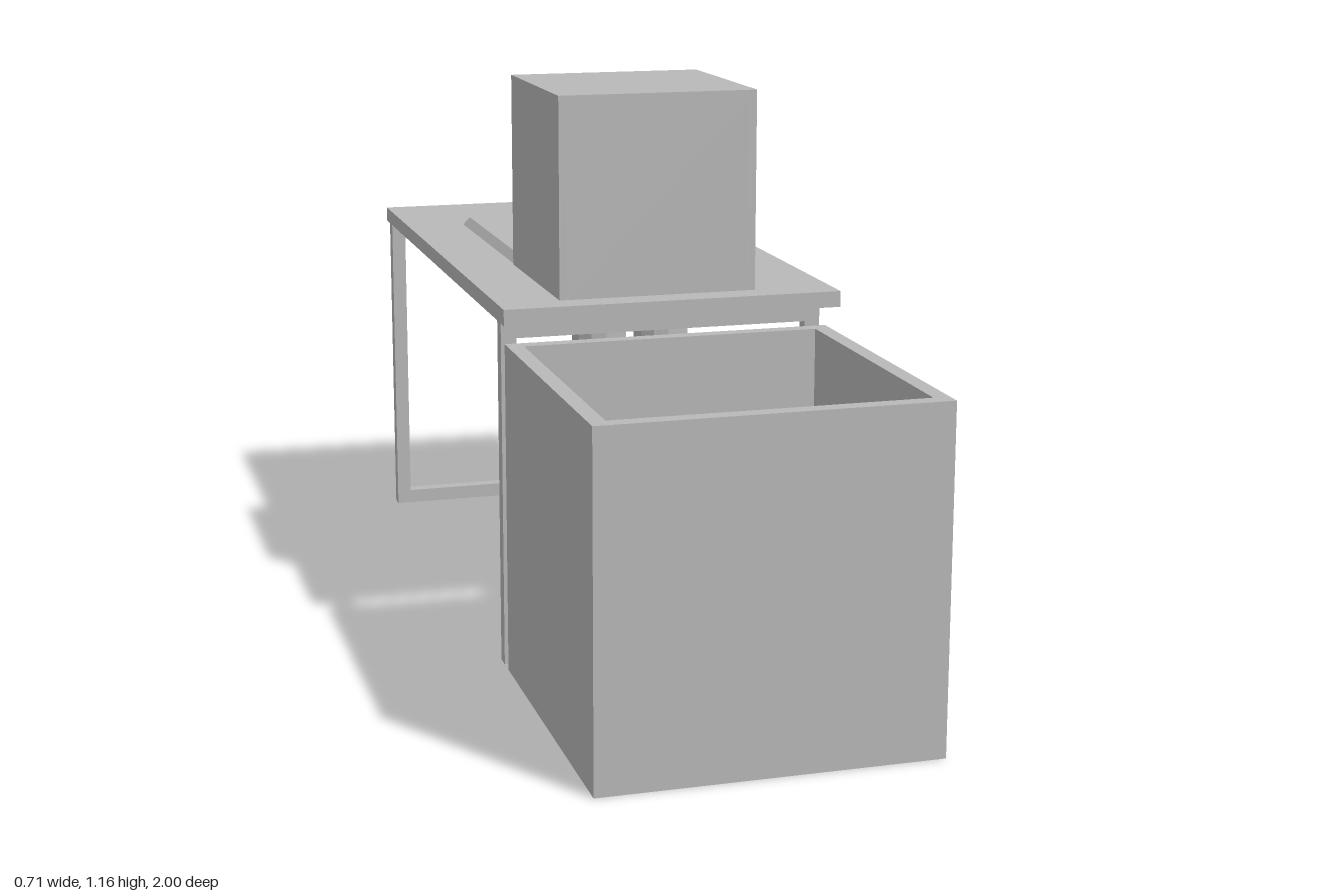
import * as THREE from 'three';

const grey = new THREE.MeshStandardMaterial({ color: 0xb8b8b8, flatShading: true, side: THREE.DoubleSide });
grey.name = 'plain grey';

const PIPE_X = [-0.089, 0.047], PIPE_R = 0.059, PIPE_Z = 0.056, PIPE_Y = 0.17;
const T = 0.0165; // hood panel thickness

function add(parent, name, geometry) {
  const mesh = new THREE.Mesh(geometry, grey);
  mesh.name = name;
  parent.add(mesh);
  return mesh;
}

// box given by its limits on each axis
function block(parent, name, [x0, x1], [y0, y1], [z0, z1]) {
  const mesh = add(parent, name, new THREE.BoxGeometry(x1 - x0, y1 - y0, z1 - z0));
  mesh.position.set((x0 + x1) / 2, (y0 + y1) / 2, (z0 + z1) / 2);
}

function rectangle([x0, x1], [y0, y1], Type = THREE.Shape) {
  return new Type([[x0, y0], [x1, y0], [x1, y1], [x0, y1]].map(p => new THREE.Vector2(...p)));
}

// round openings that match the pipes
function pierce(shape, y) {
  for (const x of PIPE_X) {
    const pts = [];
    for (let i = 0; i < 12; i++) {
      const a = i * Math.PI / 6;
      pts.push(new THREE.Vector2(x + PIPE_R * Math.cos(a), y + PIPE_R * Math.sin(a)));
    }
    shape.holes.push(new THREE.Path(pts));
  }
  return shape;
}

const extrude = (shape, depth) => new THREE.ExtrudeGeometry(shape, { depth, bevelEnabled: false });

// horizontal panel pierced by the pipes
function piercedPanel(parent, name, xs, [y0, y1], [z0, z1]) {
  const geo = extrude(pierce(rectangle(xs, [-z1, -z0]), -PIPE_Z), y1 - y0);
  geo.rotateX(-Math.PI / 2).translate(0, y0, 0);
  add(parent, name, geo);
}

export function createModel() {
  const model = new THREE.Group();
  model.name = 'workTableWithBin';

  // table top and its two closed leg frames
  piercedPanel(model, 'tableTop', [-0.354, 0.354], [0.715, 0.748], [-1, 0.32]);
  for (const [name, z] of [['frontLegFrame', 0.26], ['backLegFrame', -0.96]]) {
    const frame = rectangle([-0.354, 0.319], [0, 0.715]);
    frame.holes.push(rectangle([-0.322, 0.287], [0.032, 0.683], THREE.Path));
    add(model, name, extrude(frame, 0.031)).position.z = z;
  }

  // open bin in front of the table
  const bin = new THREE.Group();
  bin.name = 'bin';
  model.add(bin);
  const xs = [-0.354, 0.319], ys = [0, 0.68];
  block(bin, 'binFloor', [-0.322, 0.287], [0, 0.03], [0.355, 0.968]);
  block(bin, 'binFrontWall', xs, ys, [0.968, 1]);
  block(bin, 'binRightWall', [-0.354, -0.322], ys, [0.355, 0.968]);
  block(bin, 'binLeftWall', [0.287, 0.319], ys, [0.355, 0.968]);
  add(bin, 'binBackWall', extrude(pierce(rectangle(xs, ys), PIPE_Y), 0.03)).position.z = 0.325;

  // hood, open at the back
  const hood = new THREE.Group();
  hood.name = 'hood';
  model.add(hood);
  const hx = [-0.225, 0.189], hy = [0.748, 1.16], hz = [-0.155, 0.259];
  const inner = [hx[0] + T, hx[1] - T], wallY = [hy[0], hy[1] - T];
  block(hood, 'hoodRoof', hx, [hy[1] - T, hy[1]], hz);
  block(hood, 'hoodRightWall', [hx[0], inner[0]], wallY, hz);
  block(hood, 'hoodLeftWall', [inner[1], hx[1]], wallY, hz);
  block(hood, 'hoodFrontWall', inner, wallY, [hz[1] - T, hz[1]]);
  piercedPanel(hood, 'hoodFloor', inner, [hy[0], hy[0] + T], [hz[0], hz[1] - T]);

  // flat ramp with sloping sides behind the hood
  const ramp = new THREE.Shape([[-0.222, 0], [0.184, 0], [0.168, T], [-0.206, T]]
    .map(p => new THREE.Vector2(...p)));
  add(model, 'ramp', extrude(ramp, 0.545)).position.set(0, 0.748, -0.7);

  // bent pipes from the hood floor into the bin
  const bend = 0.19, k = bend * 0.5523;
  const at = (y, z) => new THREE.Vector3(0, y, z);
  const path = new THREE.CurvePath();
  const a = at(PIPE_Y + bend, PIPE_Z), b = at(PIPE_Y, PIPE_Z + bend);
  path.add(new THREE.LineCurve3(at(0.76, PIPE_Z), a));
  path.add(new THREE.CubicBezierCurve3(a, at(a.y - k, a.z), at(b.y, b.z - k), b));
  path.add(new THREE.LineCurve3(b, at(PIPE_Y, 0.455)));
  const pipe = new THREE.TubeGeometry(path, 24, PIPE_R, 12, false);
  PIPE_X.forEach((x, i) => {
    add(model, i ? 'leftPipe' : 'rightPipe', pipe).position.x = x;
  });

  return model;
}
